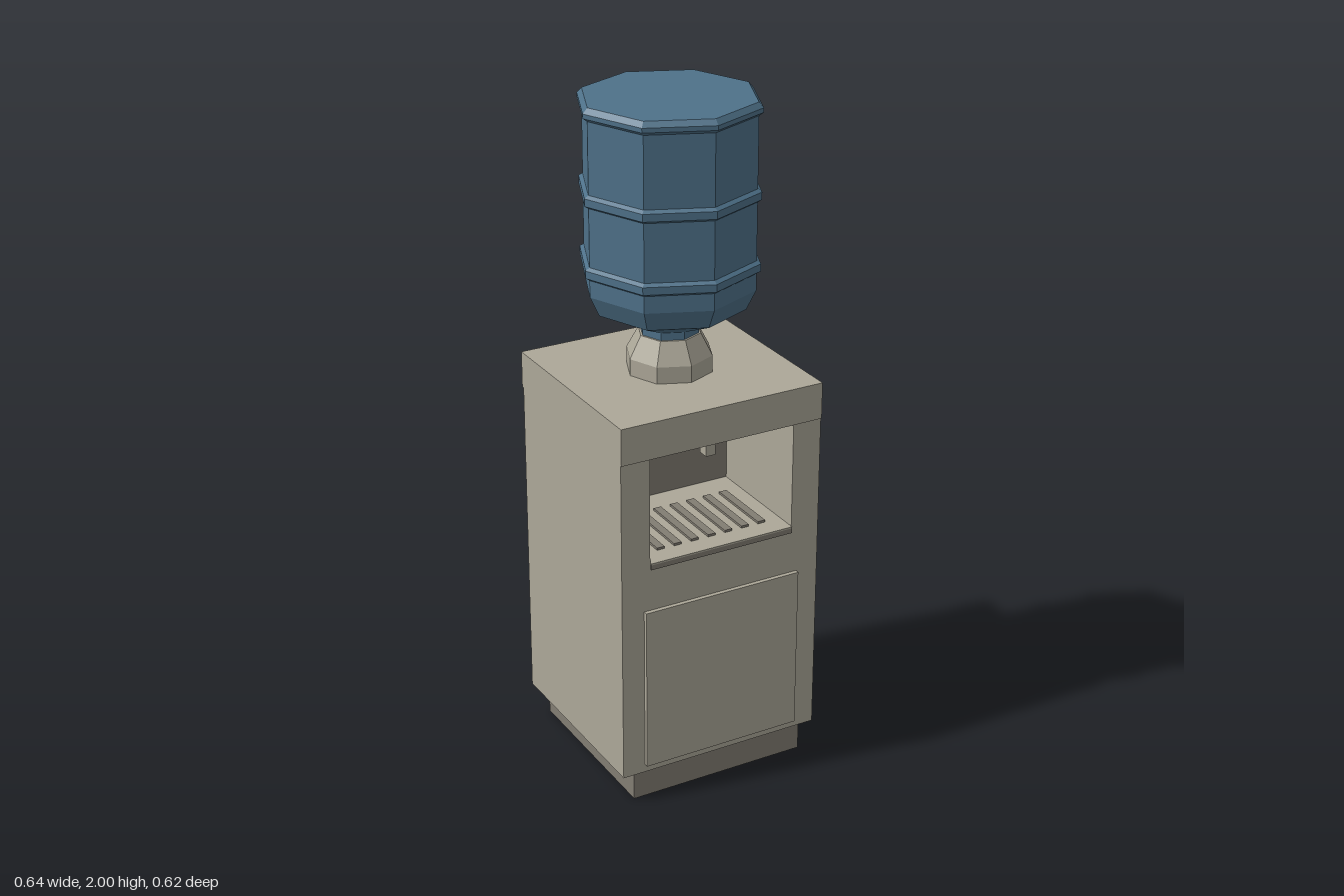
import * as THREE from 'three';

const mat = (name, color) => {
  const m = new THREE.MeshStandardMaterial({ color });
  m.name = name;
  return m;
};

export function createModel() {
  const root = new THREE.Group();
  root.name = 'waterDispenser';
  const casing = mat('warmGreyCasing', 0xaca798);
  const dark = mat('darkGrey', 0x827d73);
  const bottleBlue = mat('bottleBlue', 0x4e7189);
  const coldBlue = mat('coldTapBlue', 0x4a78ae);
  const hotBrown = mat('hotTapBrown', 0x7d6c63);

  const add = (name, geometry, material, parent = root) => {
    const mesh = new THREE.Mesh(geometry, material);
    mesh.name = name;
    parent.add(mesh);
    return mesh;
  };
  // Box given by its limits on each axis
  const box = (name, [x0, x1], [y0, y1], [z0, z1], material, parent) => {
    const mesh = add(name, new THREE.BoxGeometry(x1 - x0, y1 - y0, z1 - z0), material, parent);
    mesh.position.set((x0 + x1) / 2, (y0 + y1) / 2, (z0 + z1) / 2);
    return mesh;
  };
  // Faceted eight-sided turned part
  const turned = (name, profile, material) => {
    const points = profile.map(([r, y]) => new THREE.Vector2(r, y));
    const g = new THREE.LatheGeometry(points, 8).toNonIndexed();
    g.computeVertexNormals();
    const mesh = add(name, g, material);
    mesh.position.z = -0.006;
    return mesh;
  };

  // Plinth
  box('plinth', [-0.28, 0.28], [0, 0.09], [-0.265, 0.285], dark);

  // Cabinet: U-shaped front outline leaving the dispensing niche open
  const outline = new THREE.Shape([
    [-0.32, 0.09], [0.32, 0.09], [0.32, 1.09], [0.23, 1.09],
    [0.23, 0.75], [-0.23, 0.75], [-0.23, 1.09], [-0.32, 1.09],
  ].map(([x, y]) => new THREE.Vector2(x, y)));
  const cabinet = add('cabinet',
    new THREE.ExtrudeGeometry(outline, { depth: 0.599, bevelEnabled: false }), casing);
  cabinet.position.z = -0.302;
  box('topSlab', [-0.32, 0.32], [1.09, 1.2], [-0.31, 0.301], casing);
  box('door', [-0.25, 0.25], [0.115, 0.62], [0.29, 0.31], casing);

  // Niche back, also closing the rear opening
  box('nicheBack', [-0.23, 0.23], [0.75, 1.09], [-0.298, -0.07], dark);

  // Drip tray with raised dark slats
  const tray = new THREE.Group();
  tray.name = 'dripTray';
  root.add(tray);
  box('trayBase', [-0.229, 0.229], [0.75, 0.765], [-0.07, 0.303], dark, tray);
  box('trayTop', [-0.229, 0.229], [0.765, 0.77], [-0.07, 0.303], casing, tray);
  for (let i = -3; i <= 3; i++) {
    const x = i * 0.055;
    box('traySlat', [x - 0.012, x + 0.012], [0.77, 0.777], [0.02, 0.24], dark, tray);
  }

  // Taps
  for (const [name, x, colour] of [['hotTap', -0.115, hotBrown], ['coldTap', 0.115, coldBlue]]) {
    const tap = new THREE.Group();
    tap.name = name;
    tap.position.x = x;
    root.add(tap);
    box('arm', [-0.018, 0.018], [0.95, 0.985], [-0.07, 0.03], casing, tap);
    box('spout', [-0.016, 0.016], [0.91, 0.975], [0, 0.035], casing, tap);
    box('colourBand', [-0.023, 0.023], [0.972, 1.0], [-0.01, 0.04], colour, tap);
    box('cap', [-0.026, 0.026], [1.0, 1.012], [-0.015, 0.045], casing, tap);
  }

  // Collar holding the bottle
  turned('collar', [[0.127, 1.2], [0.127, 1.25], [0.092, 1.315], [0, 1.315]], casing);

  // Upturned bottle with two hoops and a rim
  const hoop = (y) => [[0.25, y], [0.262, y + 0.008], [0.262, y + 0.03], [0.25, y + 0.038]];
  turned('bottle', [
    [0.086, 1.3], [0.086, 1.338], [0.222, 1.4], [0.25, 1.46],
    ...hoop(1.51), ...hoop(1.718),
    [0.25, 1.962], [0.263, 1.972], [0.263, 1.985], [0.249, 2], [0, 2],
  ], bottleBlue);

  return root;
}
